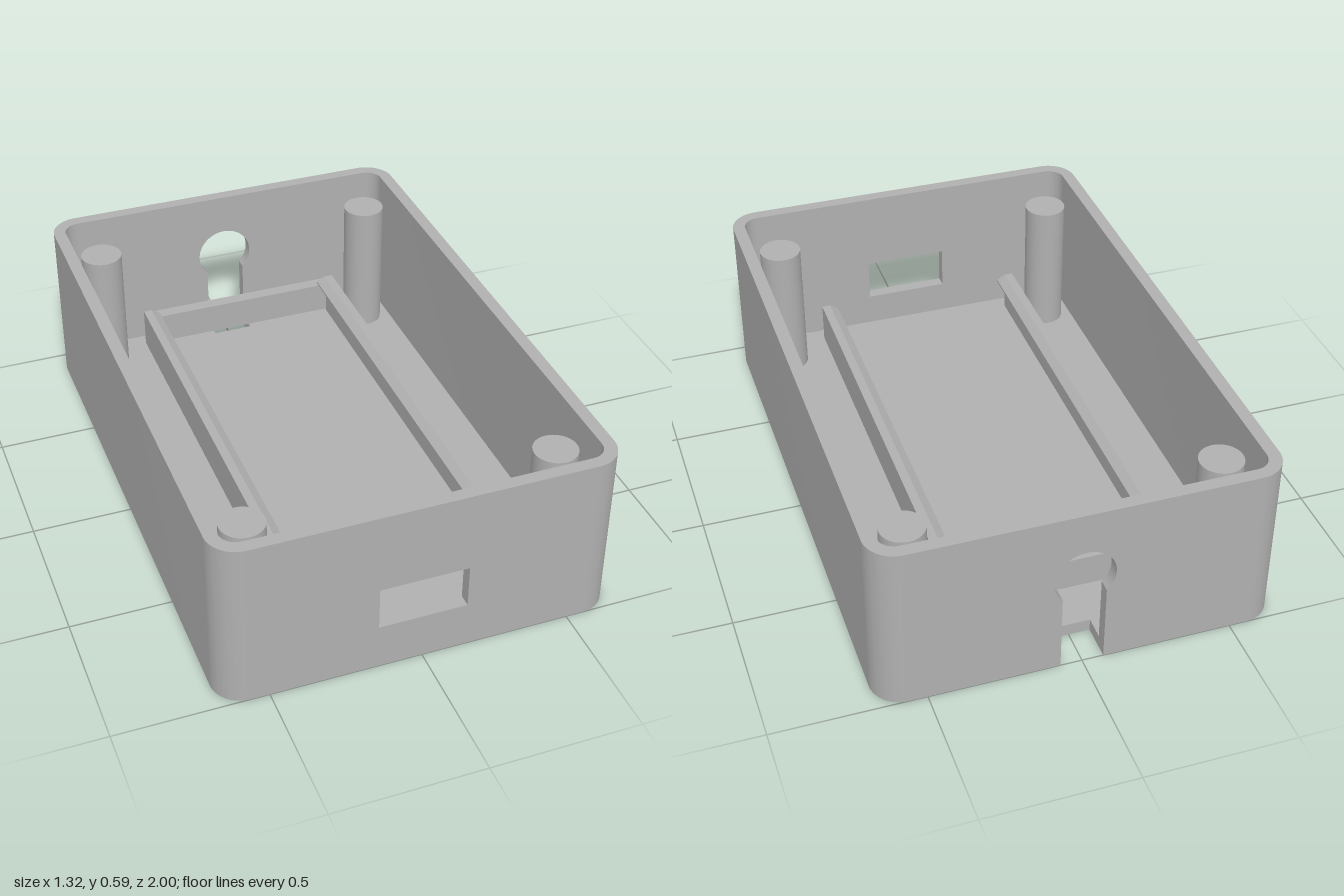
import * as THREE from 'three';
import { toCreasedNormals } from 'three/addons/utils/BufferGeometryUtils.js';

const W = 0.66, D = 1, H = 0.59;      // half width, half depth, height
const T = 0.043, R = 0.1;             // wall thickness, outer corner radius
const RI = R - T;                     // inner corner radius
const CX = W - R, CZ = D - R;         // corner arc centres

export function createModel() {
  const group = new THREE.Group();
  const grey = new THREE.MeshStandardMaterial({ color: 0xb0b0b0 });
  grey.name = 'grey plastic';

  const add = (name, geometry) => {
    const mesh = new THREE.Mesh(geometry, grey);
    mesh.name = name;
    group.add(mesh);
    return mesh;
  };
  const extrude = (shape, depth) => toCreasedNormals(
    new THREE.ExtrudeGeometry(shape, { depth, bevelEnabled: false, curveSegments: 16 }), 0.5);
  const polygon = (pts) => new THREE.Shape(pts.map(([x, y]) => new THREE.Vector2(x, y)));

  // Side walls, each with its two rounded corners
  const side = new THREE.Shape();
  side.moveTo(CX, -D);
  side.absarc(CX, -CZ, R, -Math.PI / 2, 0, false);
  side.lineTo(W, CZ);
  side.absarc(CX, CZ, R, 0, Math.PI / 2, false);
  side.lineTo(CX, D - T);
  side.absarc(CX, CZ, RI, Math.PI / 2, 0, true);
  side.lineTo(W - T, -CZ);
  side.absarc(CX, -CZ, RI, 0, -Math.PI / 2, true);
  side.closePath();
  const sideGeometry = extrude(side, H).rotateX(-Math.PI / 2);
  add('leftWall', sideGeometry);
  add('rightWall', sideGeometry).rotation.y = Math.PI;

  // Front wall with a rectangular port
  const front = polygon([[-CX, 0], [CX, 0], [CX, H], [-CX, H]]);
  front.holes.push(polygon([[-0.147, 0.16], [-0.147, 0.31], [0.147, 0.31], [0.147, 0.16]]));
  add('frontWall', extrude(front, T)).position.z = D - T;

  // Back wall with a keyhole slot open at the bottom
  const slot = 0.071, holeY = 0.345, holeR = 0.1;
  const angle = Math.acos(slot / holeR);
  const back = new THREE.Shape();
  back.moveTo(-CX, 0);
  back.lineTo(-slot, 0);
  back.absarc(0, holeY, holeR, Math.PI + angle, -angle, true);
  back.lineTo(slot, 0);
  back.lineTo(CX, 0);
  back.lineTo(CX, H);
  back.lineTo(-CX, H);
  back.closePath();
  add('backWall', extrude(back, T)).position.z = -D;

  // Floor inside the walls, notched where the slot meets it
  const fx = W - T, fz = D - T;
  const floor = new THREE.Shape();
  floor.moveTo(-CX, -fz);
  floor.lineTo(CX, -fz);
  floor.absarc(CX, -CZ, RI, -Math.PI / 2, 0, false);
  floor.absarc(CX, CZ, RI, 0, Math.PI / 2, false);
  floor.lineTo(slot, fz);
  floor.lineTo(slot, 0.88);
  floor.lineTo(-slot, 0.88);
  floor.lineTo(-slot, fz);
  floor.absarc(-CX, CZ, RI, Math.PI / 2, Math.PI, false);
  floor.absarc(-CX, -CZ, RI, Math.PI, Math.PI * 1.5, false);
  floor.closePath();
  add('floor', extrude(floor, T).rotateX(-Math.PI / 2));

  // Screw posts in the corners
  const postH = 0.53 - T;
  const post = new THREE.CylinderGeometry(0.073, 0.073, postH, 40);
  for (const x of [-0.513, 0.513]) {
    for (const z of [-0.81, 0.807]) {
      add('screwPost', post).position.set(x, T + postH / 2, z);
    }
  }

  // Board rails with a small inward hook along the top
  const rail = polygon([
    [0.375, 0.13], [0.375, 0.27], [0.345, 0.27],
    [0.315, 0.252], [0.315, 0.245], [0.345, 0.225], [0.345, 0.13],
  ]);
  const railGeometry = extrude(rail, 1.565).translate(0, 0, -0.7825);
  add('leftRail', railGeometry);
  add('rightRail', railGeometry).rotation.y = Math.PI;

  // Stop bar joining the rails at the back
  add('stopBar', new THREE.BoxGeometry(0.69, 0.11, 0.046)).position.set(0, 0.19, -0.788);

  return group;
}
